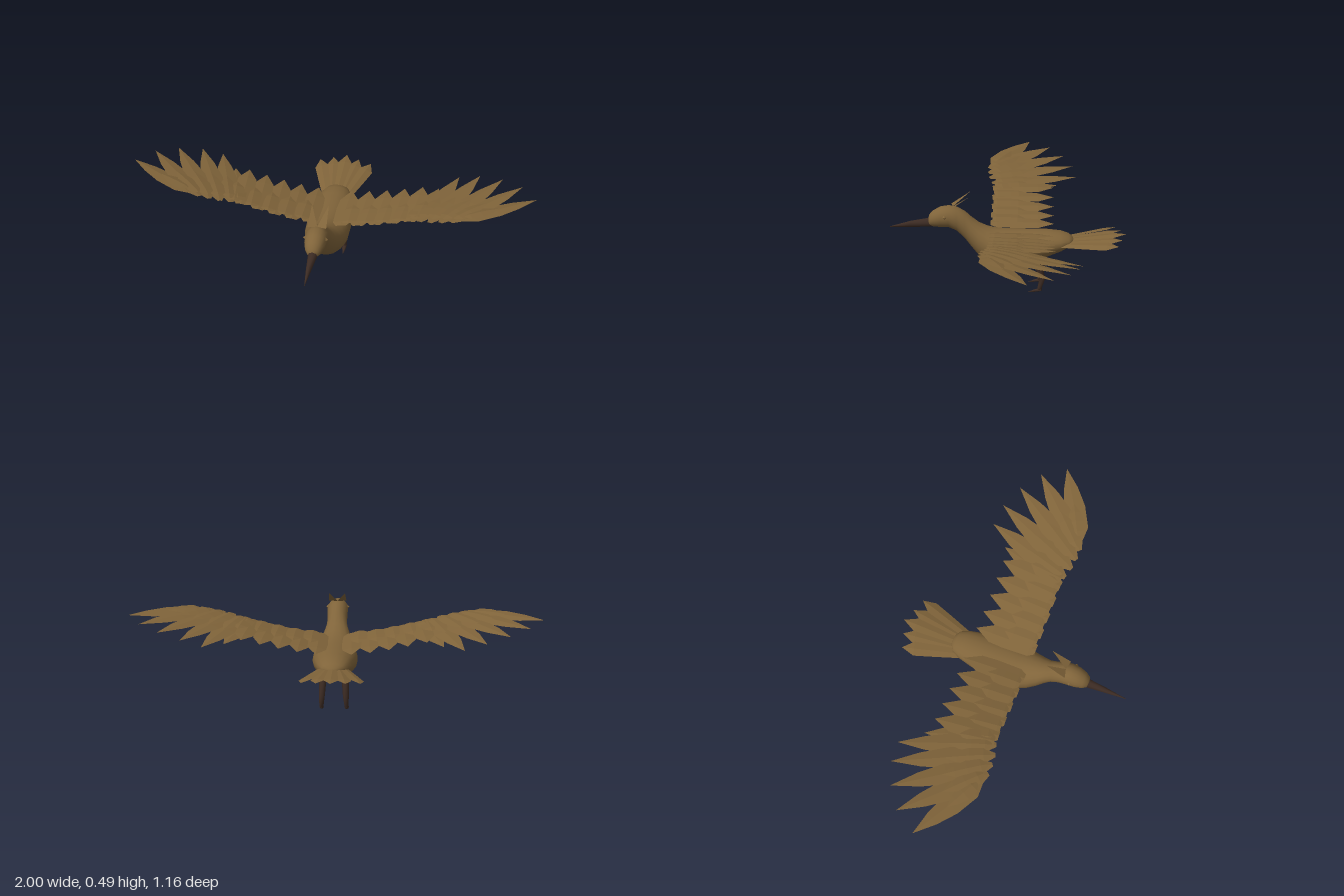
import * as THREE from 'three';

const mat = (name, color, side = THREE.FrontSide) =>
  Object.assign(new THREE.MeshStandardMaterial({ color, side }), { name });

// Smooth skin over rings [x, y, z, radiusA, radiusB]; rings face along z, or along y when upright
function loft(rings, sides, upright = false) {
  const pos = [], index = [];
  rings.forEach(([x, y, z, ra, rb], i) => {
    for (let j = 0; j < sides; j++) {
      const a = (j / sides) * Math.PI * 2, c = Math.cos(a) * ra, s = Math.sin(a) * rb;
      pos.push(x + c, upright ? y : y + s, upright ? z - s : z);
      if (i === rings.length - 1) continue;
      const k = (j + 1) % sides, p = i * sides, q = p + sides;
      index.push(p + j, q + j, p + k, p + k, q + j, q + k);
    }
  });
  const g = new THREE.BufferGeometry();
  g.setAttribute('position', new THREE.Float32BufferAttribute(pos, 3));
  g.setIndex(index);
  g.computeVertexNormals();
  return g;
}

// Feather outlines as [fraction along, fraction of width]
const BROAD = [[0, 0.5], [0.1, 0.9], [0.5, 1], [0.74, 0.92], [1, 0]];
const POINTED = [[0, 0.2], [0.15, 0.9], [0.45, 1], [0.72, 0.66], [1, 0]];
const FAN = [[0, 0.55], [0.5, 0.85], [0.82, 1], [1, 0]];
const TUFT = [[0, 1], [1, 0]];

// Slightly ridged blade from base to tip
function feather(rows, base, tip, width, roll = 0, ridge = 0.006) {
  const b = new THREE.Vector3(...base), t = new THREE.Vector3(...tip);
  const dir = t.clone().sub(b).normalize();
  const side = new THREE.Vector3().crossVectors(dir, new THREE.Vector3(0, 1, 0)).normalize();
  side.applyAxisAngle(dir, roll);
  const up = new THREE.Vector3().crossVectors(side, dir);
  let g = new THREE.PlaneGeometry(1, 1, 2, rows.length - 1);
  const p = g.attributes.position, v = new THREE.Vector3();
  for (let i = 0; i < p.count; i++) {
    const [along, w] = rows[Math.round((p.getY(i) + 0.5) * (rows.length - 1))];
    const u = p.getX(i);
    v.lerpVectors(b, t, along).addScaledVector(side, u * width * w);
    if (Math.abs(u) < 0.1) v.addScaledVector(up, ridge * w);
    p.setXYZ(i, v.x, v.y, v.z);
  }
  g = g.toNonIndexed();
  g.computeVertexNormals();
  return g;
}

export function createModel() {
  const model = new THREE.Group();
  const plumage = mat('brown plumage', 0x80643a);
  const feathers = mat('brown feathers', 0x80643a, THREE.DoubleSide);
  const horn = mat('dark horn', 0x3c2b23);
  const add = (parent, name, geo, material) => {
    const m = new THREE.Mesh(geo, material);
    m.name = name;
    parent.add(m);
    return m;
  };

  // Head, neck and body: [z, top, bottom, half width]
  const profile = [
    [0.392, 0.362, 0.352, 0.004], [0.386, 0.385, 0.332, 0.026], [0.365, 0.407, 0.325, 0.04],
    [0.33, 0.426, 0.323, 0.05], [0.29, 0.433, 0.323, 0.053], [0.25, 0.426, 0.304, 0.051],
    [0.21, 0.403, 0.262, 0.05], [0.18, 0.375, 0.222, 0.056], [0.144, 0.346, 0.178, 0.072],
    [0.1, 0.325, 0.138, 0.09], [0.06, 0.315, 0.123, 0.102], [0.02, 0.309, 0.118, 0.109],
    [-0.05, 0.307, 0.132, 0.111], [-0.12, 0.307, 0.154, 0.104], [-0.2, 0.306, 0.18, 0.09],
    [-0.26, 0.3, 0.204, 0.076], [-0.3, 0.287, 0.226, 0.057], [-0.318, 0.272, 0.243, 0.03],
    [-0.324, 0.26, 0.255, 0.004],
  ];
  add(model, 'body', loft(profile.map(([z, t, b, w]) => [0, (t + b) / 2, z, w, (t - b) / 2]), 18), plumage);

  // Beak
  add(model, 'beak', loft([[0, 0.32, 0.583, 0.001, 0.001], [0, 0.335, 0.48, 0.013, 0.016],
    [0, 0.347, 0.37, 0.024, 0.025]], 8), horn);

  // Tail fan
  const tail = new THREE.Group();
  tail.name = 'tail';
  model.add(tail);
  for (let i = -2; i <= 2; i++) {
    const a = Math.abs(i);
    add(tail, 'tailFeather', feather(FAN, [i * 0.02, 0.25 - a * 0.002, -0.22],
      [i * 0.067, 0.29 - a * 0.007, -0.582 + a * 0.022], 0.07, i * 0.12), feathers);
  }

  // Height of the wing's leading edge at x
  const wingY = (x) => 0.312 + 0.122 * THREE.MathUtils.smoothstep(x, 0.02, 0.75);
  // Outer flight feathers: base x, base z, tip x, tip y, tip z
  const primaries = [
    [0.42, 0.085, 0.52, 0.36, -0.25], [0.46, 0.095, 0.612, 0.375, -0.348],
    [0.51, 0.11, 0.715, 0.403, -0.335], [0.56, 0.115, 0.828, 0.425, -0.288],
    [0.61, 0.115, 0.928, 0.442, -0.213], [0.66, 0.1, 1, 0.452, -0.1],
  ];

  for (const s of [1, -1]) {
    const label = s > 0 ? 'left' : 'right';
    const wing = new THREE.Group();
    wing.name = label + 'Wing';
    model.add(wing);

    // Inner flight feathers with short coverts on top, rolled to follow the rise of the wing
    for (let i = 0; i < 5; i++) {
      const x = 0.08 + i * 0.083, tx = 0.085 + i * 0.089, y = wingY(x);
      add(wing, 'innerFeather', feather(BROAD, [s * x, y, 0.088], [s * tx, y - 0.006, -0.228], 0.098, s * -0.16), feathers);
      add(wing, 'innerCovert', feather(BROAD, [s * (x + 0.035), y + 0.014, 0.08],
        [s * (tx + 0.03), y + 0.008, -0.09], 0.085, s * -0.16), feathers);
    }
    // Outer flight feathers with coverts
    for (const [x, z, tx, ty, tz] of primaries) {
      const y = wingY(x);
      add(wing, 'outerFeather', feather(POINTED, [s * x, y, z], [s * tx, ty, tz], 0.108, s * -0.16), feathers);
      add(wing, 'outerCovert', feather(POINTED, [s * (x + 0.01), y + 0.01, z - 0.02],
        [s * (x + (tx - x) * 0.5), y + (ty - y) * 0.5 + 0.01, z + (tz - z) * 0.5], 0.085, s * -0.16), feathers);
    }

    // Crest feather
    add(model, label + 'Crest', feather(TUFT, [s * 0.022, 0.428, 0.274], [s * 0.04, 0.494, 0.183], 0.046, 0, 0), feathers);

    // Eye
    const eye = add(model, label + 'Eye', new THREE.OctahedronGeometry(0.013), plumage);
    eye.position.set(s * 0.047, 0.387, 0.307);

    // Leg and toe
    const leg = new THREE.Group();
    leg.name = label + 'Leg';
    model.add(leg);
    add(leg, 'shank', loft([[s * 0.05, 0.19, -0.125, 0.019, 0.022], [s * 0.054, 0.165, -0.137, 0.019, 0.021],
      [s * 0.058, 0.078, -0.172, 0.015, 0.016], [s * 0.061, 0.025, -0.158, 0.011, 0.011],
      [s * 0.061, 0.01, -0.157, 0.009, 0.012], [s * 0.061, 0.009, -0.157, 0.001, 0.001]], 7, true), horn);
    add(leg, 'toe', loft([[s * 0.062, 0.002, -0.1, 0.001, 0.001], [s * 0.062, 0.011, -0.135, 0.01, 0.006],
      [s * 0.061, 0.016, -0.164, 0.011, 0.007], [s * 0.061, 0.016, -0.168, 0.001, 0.001]], 6), horn);
  }
  return model;
}
